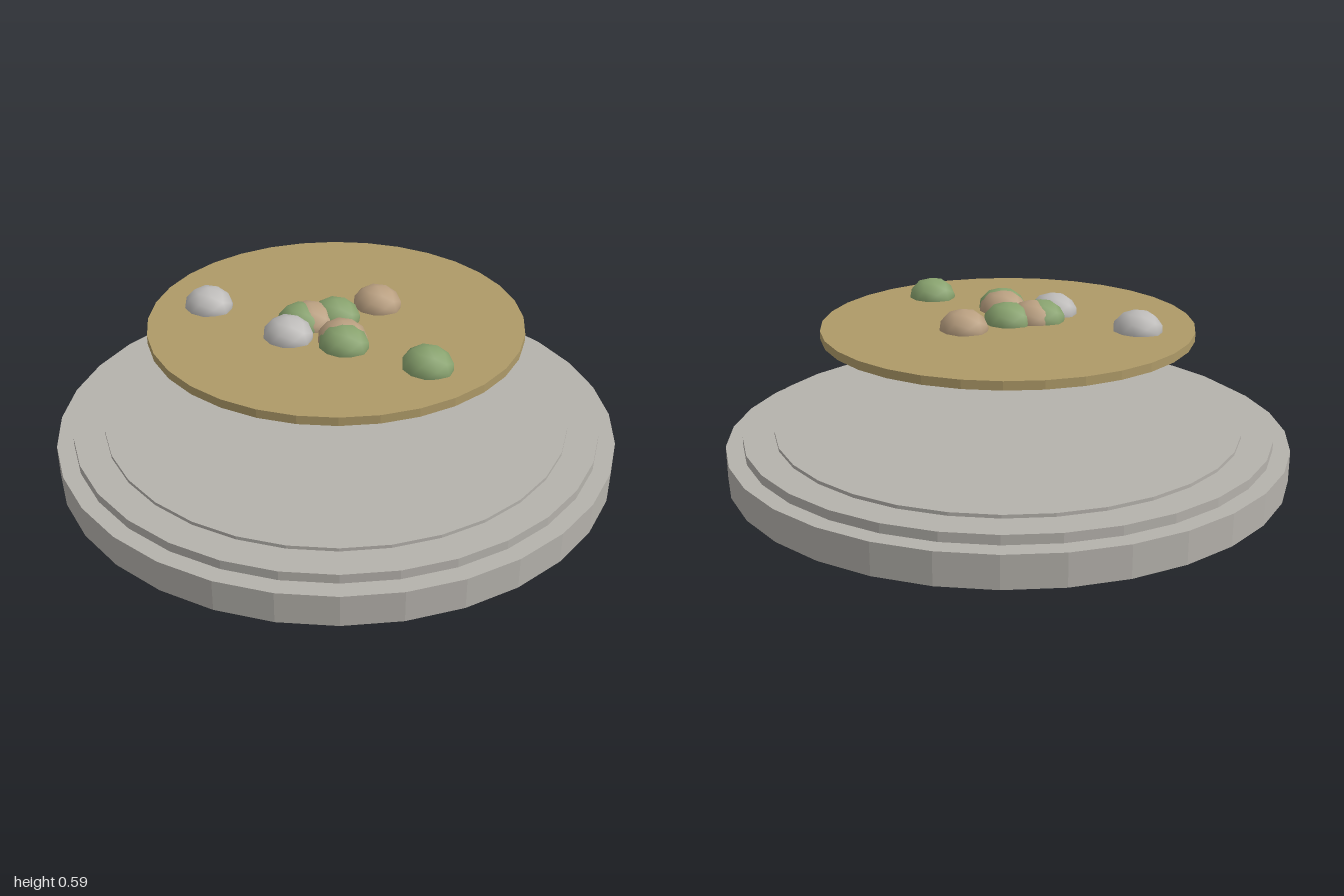
import * as THREE from 'three';

const flat = (name, color) => {
  const m = new THREE.MeshStandardMaterial({ color });
  m.name = name;
  return m;
};

export function createModel() {
  const group = new THREE.Group();
  const stone = flat('stone grey', 0xb5b2ac);
  const sand = flat('sandy ochre', 0xae9a68);
  const green = flat('moss green', 0x88a26e);
  const tan = flat('pebble tan', 0xb99f80);
  const pale = flat('pebble grey', 0xbdbbb9);

  // Flat-sided disc between two heights
  const disc = (name, radius, y0, y1, material) => {
    const geometry = new THREE.CylinderGeometry(radius, radius, y1 - y0, 32).toNonIndexed();
    geometry.computeVertexNormals();
    const mesh = new THREE.Mesh(geometry, material);
    mesh.name = name;
    mesh.position.y = (y0 + y1) / 2;
    group.add(mesh);
  };

  // Stepped plinth and the plate floating above it
  disc('plinthBase', 1, 0, 0.112, stone);
  disc('plinthStep', 0.94, 0.112, 0.145, stone);
  disc('plinthTop', 0.83, 0.145, 0.157, stone);
  disc('floatingPlate', 0.655, 0.485, 0.515, sand);

  // Faceted pebbles, slightly squashed, set into the plate
  const pebbleGeometry = new THREE.IcosahedronGeometry(1, 1);
  pebbleGeometry.scale(0.083, 0.071, 0.0915);
  const pebbles = [
    [0, 0, green],
    [-0.11, -0.055, green],
    [-0.125, 0.16, green],
    [-0.04, 0.455, green],
    [0.175, 0.035, tan],
    [-0.1, 0.13, tan],
    [-0.085, -0.042, tan],
    [-0.21, -0.02, pale],
    [-0.25, -0.385, pale],
  ];
  pebbles.forEach(([x, z, material], i) => {
    const mesh = new THREE.Mesh(pebbleGeometry, material);
    mesh.name = `pebble${i + 1}`;
    mesh.position.set(x, 0.517, z);
    group.add(mesh);
  });

  return group;
}
